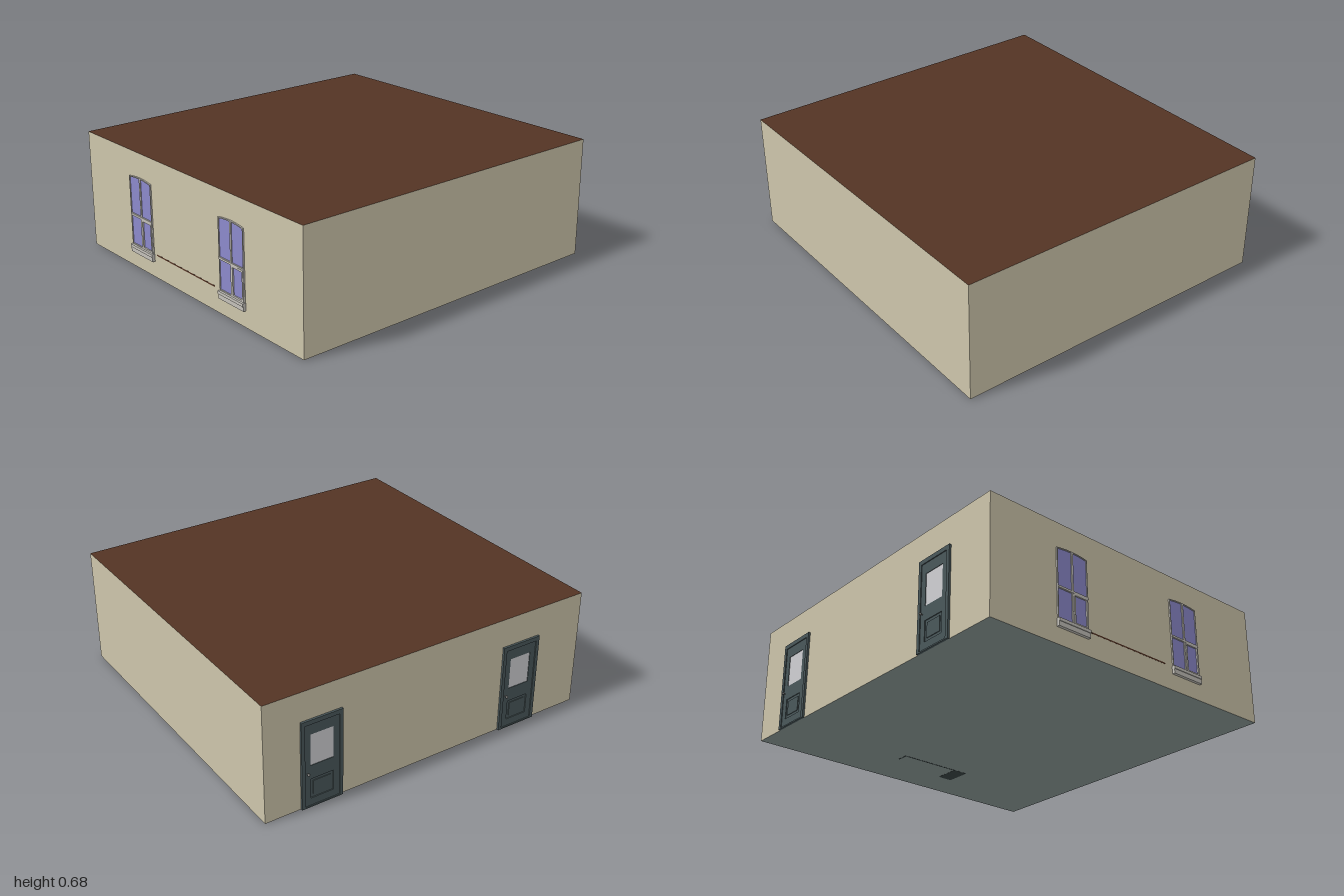
import * as THREE from 'three';

const mat = (name, color, extra = {}) => {
  const m = new THREE.MeshStandardMaterial({ color, ...extra });
  m.name = name;
  return m;
};

export function createModel() {
  const wall = mat('cream wall', 0xcdc5ab);
  const roof = mat('brown roof', 0x543424);
  const floor = mat('slate floor', 0x8c9a98);
  const frame = mat('window frame grey', 0xc4c1ba);
  const glass = mat('blue glass', 0x8c89cb);
  const doorMat = mat('dark door', 0x4a585b);
  const doorGlass = mat('door glass', 0xd0d0d4);
  const metal = mat('knob metal', 0x8a8a88);
  const dark = mat('dark slab', 0x3a4545);

  const model = new THREE.Group();
  model.name = 'building';

  // Box given by its x, y and z ranges
  const box = (parent, name, material, x0, x1, y0, y1, z0, z1) => {
    const m = new THREE.Mesh(new THREE.BoxGeometry(x1 - x0, y1 - y0, z1 - z0), material);
    m.position.set((x0 + x1) / 2, (y0 + y1) / 2, (z0 + z1) / 2);
    m.name = name;
    parent.add(m);
    return m;
  };
  const extruded = (parent, name, material, shape, depth, z) => {
    const m = new THREE.Mesh(
      new THREE.ExtrudeGeometry(shape, { depth, bevelEnabled: false, curveSegments: 8 }), material);
    m.position.z = z;
    m.name = name;
    parent.add(m);
  };
  const rect = (Type, x0, x1, y0, y1) => new Type([
    new THREE.Vector2(x0, y0), new THREE.Vector2(x1, y0),
    new THREE.Vector2(x1, y1), new THREE.Vector2(x0, y1)]);

  // Shell: walls, flat roof and floor
  box(model, 'shell', [wall, wall, roof, floor, wall, wall], -0.93, 0.955, 0, 0.675, -1, 0.98);

  // Arched four-pane window, facing +z
  const archTop = (x) => 0.537 - 0.9 * x * x;
  const archPane = (Type, x0, x1, y0, inset) => {
    const pts = [new THREE.Vector2(x0, y0), new THREE.Vector2(x1, y0)];
    for (let i = 0; i <= 6; i++) {
      const x = x1 + (x0 - x1) * i / 6;
      pts.push(new THREE.Vector2(x, archTop(x) - inset));
    }
    return new Type(pts);
  };
  const makeWindow = (x) => {
    const g = new THREE.Group();
    g.name = 'window';
    const outer = archPane(THREE.Shape, -0.102, 0.102, 0.132, 0);
    outer.holes.push(
      archPane(THREE.Path, -0.097, -0.006, 0.318, 0.006),
      archPane(THREE.Path, 0.006, 0.097, 0.318, 0.006),
      rect(THREE.Path, -0.097, -0.006, 0.141, 0.303),
      rect(THREE.Path, 0.006, 0.097, 0.141, 0.303));
    extruded(g, 'windowFrame', frame, outer, 0.008, 0);
    extruded(g, 'windowGlass', glass, archPane(THREE.Shape, -0.1, 0.1, 0.135, 0.003), 0.002, 0.001);
    // Opening casement in the lower right pane
    const casement = rect(THREE.Shape, 0.004, 0.099, 0.137, 0.308);
    casement.holes.push(rect(THREE.Path, 0.014, 0.09, 0.147, 0.296));
    extruded(g, 'casement', frame, casement, 0.01, 0.001);
    box(g, 'transom', frame, -0.102, 0.102, 0.305, 0.316, 0, 0.01);
    // Stepped sill
    box(g, 'sill', frame, -0.105, 0.105, 0.092, 0.118, 0, 0.016);
    box(g, 'sillLedge', frame, -0.105, 0.105, 0.118, 0.135, 0, 0.02);
    g.position.set(x, 0, 0.98);
    model.add(g);
  };
  [-0.407, 0.405].forEach(makeWindow);

  // Thin brown strip between the windows
  box(model, 'wallStrip', roof, -0.28, 0.25, 0.131, 0.139, 0.975, 0.9805);

  // Glazed door, built facing +z and turned to face -x
  const makeDoor = (z) => {
    const g = new THREE.Group();
    g.name = 'door';
    const casing = rect(THREE.Shape, -0.12, 0.12, 0, 0.51);
    casing.holes.push(rect(THREE.Path, -0.1, 0.1, 0.008, 0.485));
    extruded(g, 'doorCasing', doorMat, casing, 0.012, 0);
    const leaf = rect(THREE.Shape, -0.1, 0.1, 0.008, 0.485);
    leaf.holes.push(
      rect(THREE.Path, -0.066, 0.066, 0.245, 0.425),
      rect(THREE.Path, -0.066, 0.066, 0.05, 0.165));
    extruded(g, 'doorLeaf', doorMat, leaf, 0.007, 0);
    box(g, 'lowerPanel', doorMat, -0.066, 0.066, 0.05, 0.165, 0, 0.002);
    box(g, 'raisedPanel', doorMat, -0.05, 0.05, 0.066, 0.149, 0, 0.006);
    box(g, 'doorPane', doorGlass, -0.066, 0.066, 0.245, 0.425, 0, 0.004);
    // Knob on a short stem
    const stem = new THREE.Mesh(new THREE.CylinderGeometry(0.003, 0.003, 0.018, 10), metal);
    stem.rotation.x = Math.PI / 2;
    stem.position.set(-0.086, 0.205, 0.014);
    stem.name = 'knobStem';
    const knob = new THREE.Mesh(new THREE.SphereGeometry(0.007, 12, 8), metal);
    knob.position.set(-0.086, 0.205, 0.021);
    knob.name = 'knob';
    g.add(stem, knob);
    g.rotation.y = -Math.PI / 2;
    g.position.set(-0.93, 0, z);
    model.add(g);
  };
  [-0.675, 0.57].forEach(makeDoor);

  // Dark slab and edge set into the underside
  box(model, 'undersideSlab', dark, 0.18, 0.27, -0.0008, 0.002, -0.8, -0.65);
  box(model, 'undersideEdge', dark, -0.18, 0.18, -0.0008, 0.002, -0.658, -0.65);
  box(model, 'undersideEnd', dark, -0.18, -0.172, -0.0008, 0.002, -0.72, -0.65);

  return model;
}
